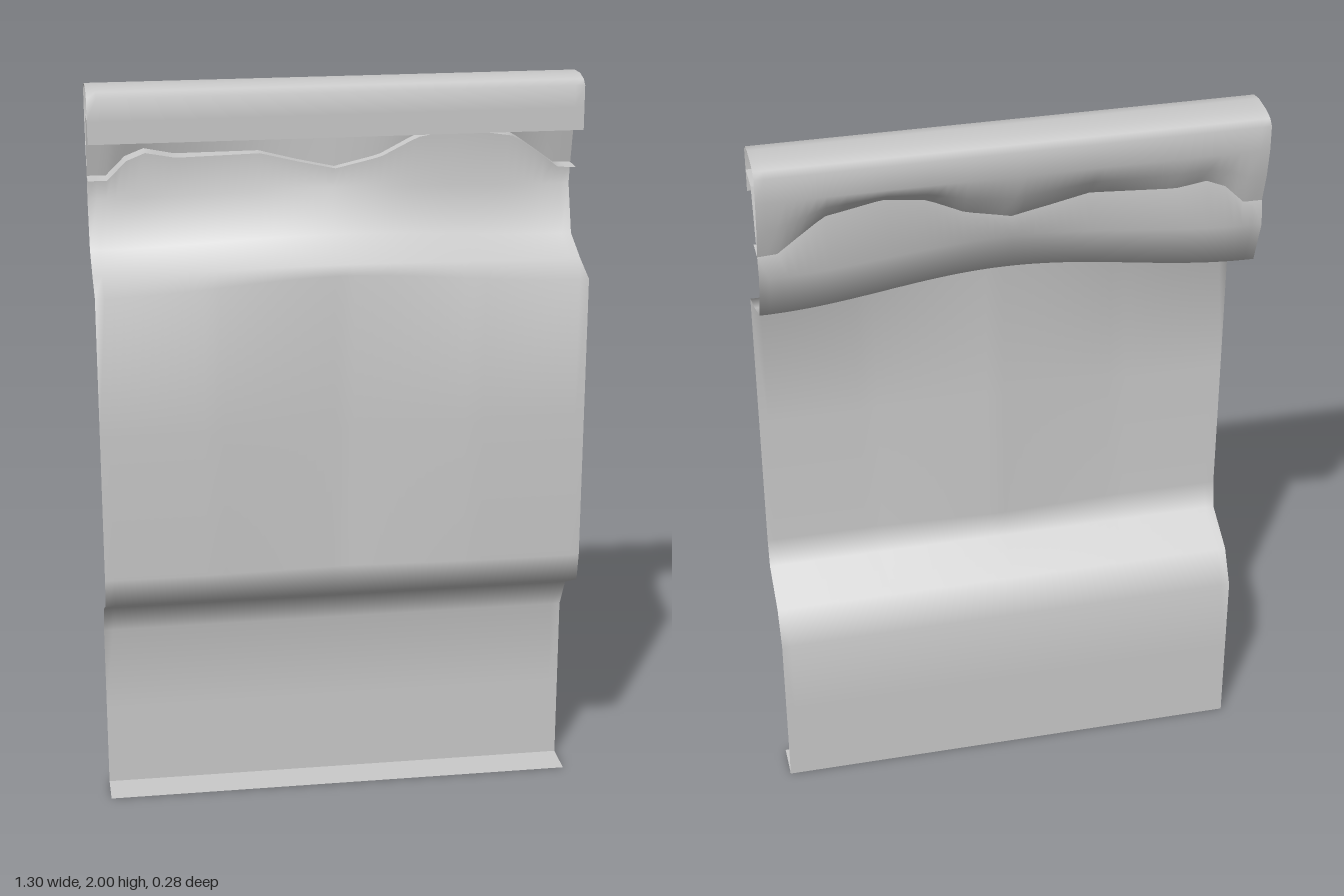
import * as THREE from 'three';

const HALF = 0.65, STEPS = 52;
const material = new THREE.MeshStandardMaterial({ color: 0xcccccc, side: THREE.DoubleSide });

// 0 at both ends, 1 in the middle
const bulge = (x) => Math.cos((Math.PI * x) / (2 * HALF)) ** 2;

// wavy height of the crease below the hood, as [x, y]
const wave = [
  [-0.65, 1.75], [-0.6, 1.75], [-0.55, 1.8], [-0.5, 1.82], [-0.42, 1.805], [-0.2, 1.81], [-0.1, 1.785],
  [0, 1.763], [0.12, 1.79], [0.22, 1.84], [0.33, 1.858], [0.48, 1.835], [0.55, 1.785], [0.6, 1.748], [0.65, 1.745],
];
function creaseHeight(x) {
  let i = 0;
  while (i < wave.length - 2 && x > wave[i + 1][0]) i++;
  const [x0, y0] = wave[i], [x1, y1] = wave[i + 1];
  return THREE.MathUtils.lerp(y0, y1, (x - x0) / (x1 - x0));
}
const creaseDepth = (x) => -0.105 + 0.035 * bulge(x);

// Sheet swept along x; profile(x) gives its cross-section as [z, y] points from bottom to top
function sheet(name, profile) {
  const positions = [], indices = [];
  let n = 0;
  for (let i = 0; i <= STEPS; i++) {
    const x = -HALF + (2 * HALF * i) / STEPS;
    const points = profile(x);
    n = points.length;
    for (const [z, y] of points) positions.push(x, y, z);
  }
  for (let i = 0; i < STEPS; i++) {
    for (let j = 0; j < n - 1; j++) {
      const a = i * n + j, b = a + n;
      indices.push(a, b, b + 1, a, b + 1, a + 1);
    }
  }
  const geometry = new THREE.BufferGeometry();
  geometry.setAttribute('position', new THREE.Float32BufferAttribute(positions, 3));
  geometry.setIndex(indices);
  geometry.computeVertexNormals();
  const mesh = new THREE.Mesh(geometry, material);
  mesh.name = name;
  return mesh;
}

export function createModel() {
  const group = new THREE.Group();
  group.name = 'foldedPanel';

  // Lower panel, step, main panel and upper bend up to the crease
  group.add(sheet('mainPanel', (x) => {
    const m = bulge(x);
    const dip = 0.015 * Math.max(0, 1 - Math.abs(x) / 0.35);
    return [
      [-0.055, 0], [-0.055, 0.23], [-0.055, 0.47],
      [0, 0.56], [0.125, 0.62], [0.14 - dip, 0.7], [0.14 - dip, 1.1],
      [0.14 - dip, 1.485 + 0.03 * m],
      [0.04 + 0.05 * m, 1.515 + 0.02 * m],
      [-0.07 + 0.05 * m, 1.557 + 0.033 * m],
      [-0.115 + 0.045 * m, 1.685 + 0.02 * m],
      [creaseDepth(x), creaseHeight(x)],
    ];
  }));

  // Lip along the bottom edge, pointing forward
  group.add(sheet('bottomLip', () => [[0.05, 0], [-0.055, 0]]));

  // Short ledge that follows the wavy crease
  group.add(sheet('creaseLedge', (x) => [[-0.04, creaseHeight(x)], [creaseDepth(x), creaseHeight(x)]]));

  // Inner sheet rising from the crease, with a flange to the hood front
  group.add(sheet('innerSheet', (x) => [[creaseDepth(x), creaseHeight(x)], [-0.065, 1.92]]));
  group.add(sheet('innerFlange', () => [[-0.065, 1.92], [0.027, 1.92]]));

  // Hood: front drop, rounded top and back sheet down to the crease
  group.add(sheet('hood', (x) => {
    const c = creaseHeight(x), d = creaseDepth(x);
    return [
      [0.028, 1.86], [0.028, 1.92], [0.028, 1.978], [0.01, 1.992], [-0.03, 2], [-0.09, 1.998],
      [-0.125, 1.99], [-0.14, 1.975], [-0.14, 1.91],
      [THREE.MathUtils.lerp(-0.14, d, 0.35), THREE.MathUtils.lerp(1.91, c, 0.5)],
      [d, c],
    ];
  }));

  return group;
}
